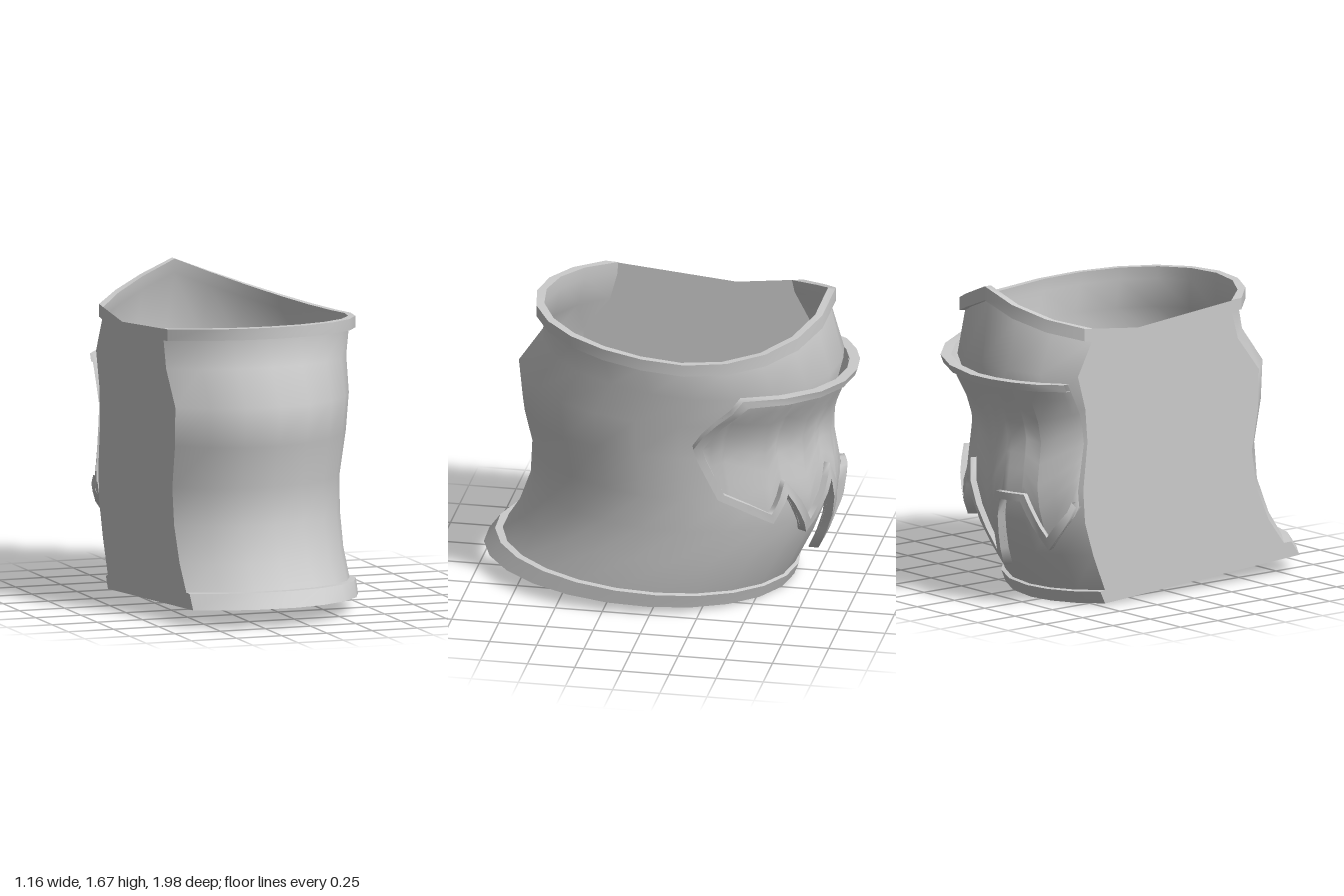
import * as THREE from 'three';

const CUT = -0.59; // the flat side plane

// Cross-section loops: [frontZ, frontY, backZ, backY, peak, centreX, maxX]
const BODY = [
  [0.96, 0.10, -0.60, 0.005, 0, -0.18, 0.46],
  [0.90, 0.18, -0.64, 0.07, 0, -0.18, 0.475],
  [0.82, 0.31, -0.74, 0.27, 0, -0.17, 0.47],
  [0.75, 0.50, -0.81, 0.45, 0, -0.16, 0.475],
  [0.74, 0.70, -0.84, 0.62, 0, -0.15, 0.48],
  [0.79, 0.92, -0.82, 0.88, 0, -0.14, 0.50],
  [0.81, 1.13, -0.85, 1.05, 0, -0.13, 0.515],
  [0.68, 1.32, -0.91, 1.20, 0.08, -0.11, 0.54],
  [0.665, 1.47, -0.84, 1.335, 0.26, -0.09, 0.55],
  [0.665, 1.535, -0.83, 1.40, 0.27, -0.09, 0.545],
];
const BOTTOM_RIM = [
  BODY[0],
  [1.0, 0.10, -0.635, 0.0, 0, -0.18, 0.50],
  [0.94, 0.18, -0.66, 0.065, 0, -0.18, 0.505],
  BODY[1],
];
const TOP_RIM = [
  BODY[8],
  [0.71, 1.475, -0.87, 1.335, 0.26, -0.09, 0.58],
  [0.71, 1.535, -0.87, 1.40, 0.27, -0.09, 0.58],
  BODY[9],
];

// Point on a loop; angle 0 = front, PI/2 = +x, PI = back
function loopPoint([fz, fy, bz, by, peak, cx, maxX], th) {
  const c = Math.cos(th), s = Math.sin(th), k = (1 + c) / 2;
  const lift = c < 0 ? peak * (1 - Math.abs(s)) : 0;
  return new THREE.Vector3(cx + (maxX - cx) * s, by + (fy - by) * k + lift, bz + (fz - bz) * k);
}

// Loop from the cut plane round the front, side and back to the cut plane
function loop(level) {
  const start = Math.asin((CUT - level[5]) / (level[6] - level[5]));
  const pts = [];
  for (let i = 0; i <= 14; i++) pts.push(loopPoint(level, start + (Math.PI - start) * i / 14));
  for (let i = 1; i <= 3; i++) pts.push(loopPoint(level, Math.PI - start * i / 3));
  return pts;
}

// Smooth surface through rows of points
function loft(rows) {
  const n = rows[0].length, index = [];
  for (let i = 0; i < rows.length - 1; i++) {
    for (let j = 0; j < n - 1; j++) {
      const a = i * n + j;
      index.push(a, a + 1, a + n + 1, a, a + n + 1, a + n);
    }
  }
  const g = new THREE.BufferGeometry().setFromPoints(rows.flat());
  g.setIndex(index);
  g.computeVertexNormals();
  return g;
}

// Point on the body at an angle and height, pushed outward
function onBody(th, y, off) {
  const pts = BODY.map((l) => loopPoint(l, th));
  let i = 0;
  while (i < pts.length - 2 && pts[i + 1].y < y) i++;
  const p = pts[i].clone().lerp(pts[i + 1], (y - pts[i].y) / (pts[i + 1].y - pts[i].y));
  p.x = Math.max(CUT, p.x + off * Math.sin(th));
  p.z += off * Math.cos(th);
  p.y = y;
  return p;
}

// The back plate flares out at its top and along its jagged lower edge
const flare = (y) => (y > 0.95
  ? 0.01 + 0.045 * Math.min(1, (y - 0.95) / 0.25)
  : 0.01 + 0.035 * Math.min(1, (0.95 - y) / 0.4));

// Plate outline as [angle, height]
const PLATE_TOP = [[1.83, 0.97], [2.04, 1.27], [3.14, 1.22], [3.9, 1.21]];
const PLATE_BOTTOM = [[1.83, 0.97], [1.95, 0.68], [2.33, 0.51], [2.43, 0.66], [2.65, 0.40],
  [2.87, 0.65], [3.08, 0.18], [3.28, 0.57], [3.46, 0.57], [3.58, 0.31], [3.9, 0.55]];

function heightAt(line, th) {
  let i = 0;
  while (i < line.length - 2 && line[i + 1][0] < th) i++;
  const [a, b] = [line[i], line[i + 1]];
  return a[1] + (b[1] - a[1]) * (th - a[0]) / (b[0] - a[0]);
}

function plateGeometry() {
  const angles = new Set([...PLATE_TOP, ...PLATE_BOTTOM].map((p) => p[0]));
  for (let t = 1.89; t < 3.9; t += 0.13) angles.add(t);
  const cols = [...angles].sort((a, b) => a - b);
  const rows = [];
  for (let r = 0; r <= 8; r++) {
    rows.push(cols.map((th) => {
      const lo = heightAt(PLATE_BOTTOM, th), hi = heightAt(PLATE_TOP, th);
      const y = lo + (hi - lo) * r / 8;
      return onBody(th, y, flare(y));
    }));
  }
  return loft(rows);
}

// Raised border: outline and its inset copy, both subdivided
function borderStrips(width, height) {
  const R = 0.75; // angle to arc length
  const line = [...PLATE_TOP.slice().reverse(), ...PLATE_BOTTOM.slice(1)]
    .map(([t, y]) => new THREE.Vector2(t * R, y));
  const normal = (a, b) => new THREE.Vector2(a.y - b.y, b.x - a.x).normalize();
  const inset = line.map((p, i) => {
    const n1 = normal(line[Math.max(0, i - 1)], line[Math.max(1, i)]);
    const n2 = normal(line[Math.min(i, line.length - 2)], line[Math.min(i + 1, line.length - 1)]);
    const m = n1.clone().add(n2).normalize();
    return p.clone().addScaledVector(m, width / Math.max(0.45, m.dot(n1)));
  });
  const subdivide = (pts) => pts.flatMap((p, i) => {
    if (i === pts.length - 1) return [p];
    return [0, 0.25, 0.5, 0.75].map((k) => p.clone().lerp(pts[i + 1], k));
  });
  const row = (pts, off) => subdivide(pts).map((p) => onBody(p.x / R, p.y, flare(p.y) + off));
  const section = [row(line, -0.02), row(line, height), row(inset, height), row(inset, 0)];
  return [0, 1, 2].map((i) => loft([section[i + 1], section[i]]));
}

// Flat wall closing the cut side
function sideWallGeometry() {
  const ends = [BOTTOM_RIM[1], BOTTOM_RIM[2], ...BODY.slice(1, 9), TOP_RIM[1], TOP_RIM[2]].map(loop);
  const front = ends.map((l) => l[0]);
  const back = ends.map((l) => l[l.length - 1]).reverse();
  const outline = [...front.map((p) => [p.z, p.y]), [-0.25, 1.45], ...back.map((p) => [p.z, p.y])];
  const shape = new THREE.Shape(outline.map(([z, y]) => new THREE.Vector2(z, y)));
  return new THREE.ShapeGeometry(shape).rotateY(-Math.PI / 2).translate(CUT, 0, 0);
}

export function createModel() {
  const model = new THREE.Group();
  const grey = new THREE.MeshStandardMaterial({ color: 0xcccccc, side: THREE.DoubleSide });
  grey.name = 'plain grey';

  const add = (name, ...geometries) => {
    const part = new THREE.Group();
    part.name = name;
    geometries.forEach((g) => {
      const mesh = new THREE.Mesh(g, grey);
      mesh.name = name + 'Surface';
      part.add(mesh);
    });
    model.add(part);
  };
  // Each rim face is its own strip so its edges stay sharp
  const rim = (levels) => [0, 1, 2].map((i) => loft([loop(levels[i]), loop(levels[i + 1])]));

  add('sleeve', loft(BODY.map(loop)));
  add('bottomRim', ...rim(BOTTOM_RIM));
  add('topRim', ...rim(TOP_RIM));
  add('sideWall', sideWallGeometry());
  add('backPlate', plateGeometry());
  add('backPlateBorder', ...borderStrips(0.04, 0.035));
  return model;
}
